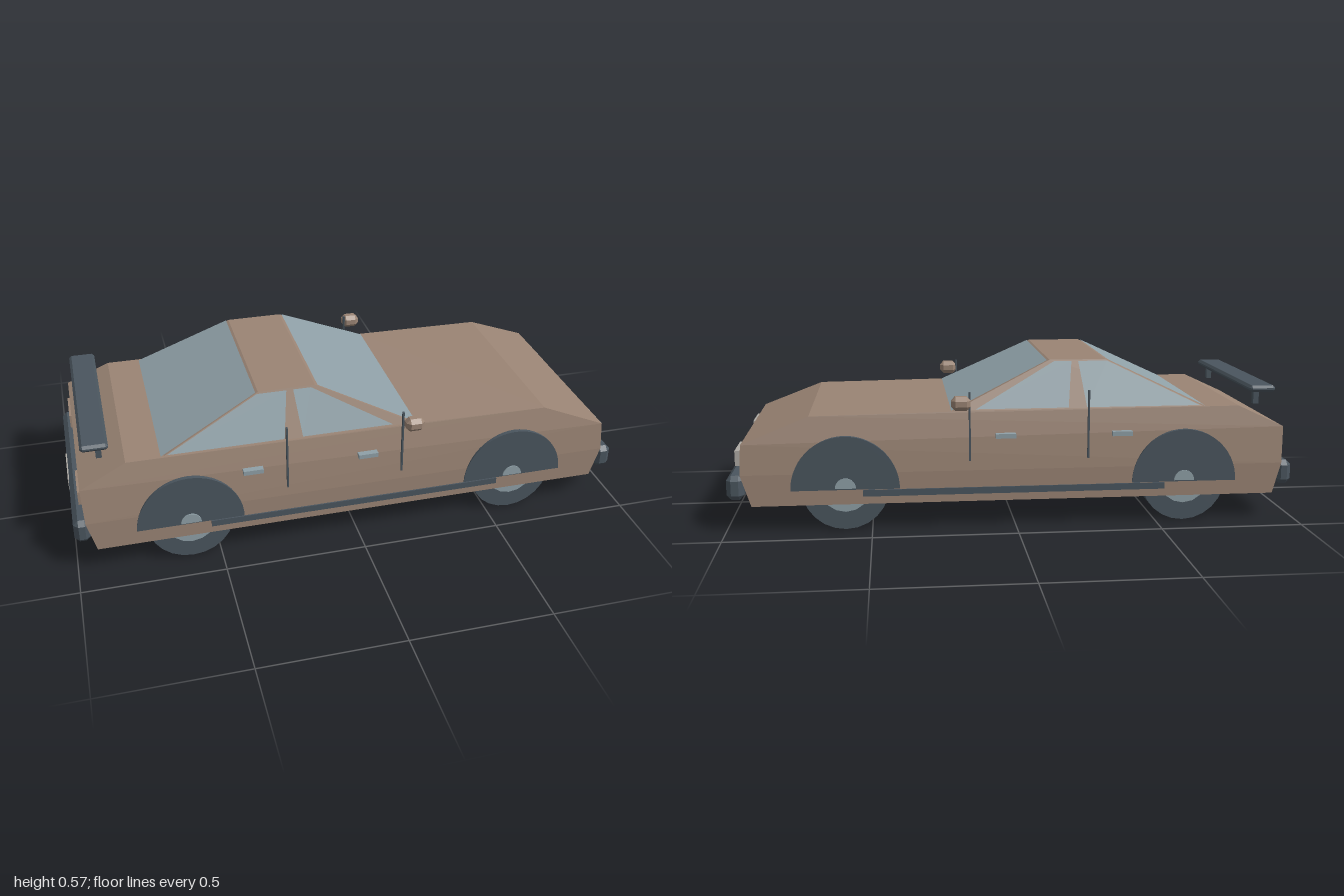
import * as THREE from 'three';
import { ConvexGeometry } from 'three/addons/geometries/ConvexGeometry.js';

const mat = (name, color) => Object.assign(new THREE.MeshStandardMaterial({ color }), { name });

export function createModel() {
  const car = new THREE.Group();
  car.name = 'car';
  const paint = mat('tan paint', 0x9a8474);
  const dark = mat('dark trim', 0x4a555e);
  const glass = mat('blue grey glass', 0x8fa0a7);
  const pale = mat('pale lens', 0xaeaaa4);

  const add = (name, geometry, material, x = 0, y = 0, z = 0) => {
    const flat = geometry.index ? geometry.toNonIndexed() : geometry;
    flat.computeVertexNormals();
    const mesh = new THREE.Mesh(flat, material);
    mesh.name = name;
    mesh.position.set(x, y, z);
    car.add(mesh);
    return mesh;
  };
  // box given by its ranges along each axis
  const box = (name, material, [x0, x1], [y0, y1], [z0, z1]) =>
    add(name, new THREE.BoxGeometry(x1 - x0, y1 - y0, z1 - z0), material,
      (x0 + x1) / 2, (y0 + y1) / 2, (z0 + z1) / 2);
  // hull of [x, y, halfWidth] points mirrored across z
  const hull = (name, material, points) => add(name, new ConvexGeometry(
    points.flatMap(([x, y, w]) => [new THREE.Vector3(x, y, w), new THREE.Vector3(x, y, -w)])), material);
  // box with all edges chamfered by c
  const chamferBox = (name, material, sx, sy, sz, c, x, y, z) => {
    const points = [];
    for (const i of [-1, 1]) for (const j of [-1, 1]) for (const k of [-1, 1])
      for (let axis = 0; axis < 3; axis++) {
        const p = [sx / 2 - c, sy / 2 - c, sz / 2 - c];
        p[axis] += c;
        points.push(new THREE.Vector3(p[0] * i, p[1] * j, p[2] * k));
      }
    return add(name, new ConvexGeometry(points), material, x, y, z);
  };
  // flat four-cornered pane lifted slightly off the surface
  const pane = (name, corners) => {
    const p = corners.map((c) => new THREE.Vector3(...c));
    const n = p[1].clone().sub(p[0]).cross(p[2].clone().sub(p[0])).normalize().multiplyScalar(0.003);
    p.forEach((v) => v.add(n));
    const g = new THREE.BufferGeometry().setFromPoints([p[0], p[1], p[2], p[0], p[2], p[3]]);
    add(name, g, glass);
  };
  // upper half disc lying on a body side
  const halfDisc = (name, material, r, x, y, side, outer) => {
    const shape = new THREE.Shape();
    shape.absarc(0, 0, r, 0, Math.PI, false);
    const g = new THREE.ExtrudeGeometry(shape, { depth: 0.03, bevelEnabled: false, curveSegments: 14 });
    add(name, g, material, x, y, side > 0 ? outer - 0.03 : -outer);
  };

  // lower body and cabin
  hull('body', paint, [
    [-0.925, 0.09, 0.395], [-0.955, 0.2, 0.395], [-0.96, 0.33, 0.382], [-0.8, 0.405, 0.365],
    [0.22, 0.403, 0.365], [0.71, 0.396, 0.367], [0.94, 0.305, 0.387], [0.945, 0.2, 0.395], [0.91, 0.09, 0.395],
  ]);
  hull('cabin', paint, [[-0.68, 0.4, 0.358], [0.22, 0.4, 0.358], [-0.13, 0.568, 0.29], [-0.33, 0.568, 0.29]]);

  // windows
  pane('windshield', [[0.22, 0.402, 0.357], [0.22, 0.402, -0.357], [-0.122, 0.564, -0.291], [-0.122, 0.564, 0.291]]);
  pane('rearWindow', [[-0.68, 0.402, -0.357], [-0.68, 0.402, 0.357], [-0.338, 0.564, 0.291], [-0.338, 0.564, -0.291]]);
  const sideWindows = {
    rearSideWindow: [[-0.66, 0.407], [-0.255, 0.407], [-0.232, 0.562], [-0.335, 0.562]],
    frontSideWindow: [[-0.19, 0.407], [0.135, 0.407], [-0.145, 0.562], [-0.208, 0.562]],
  };

  for (const side of [1, -1]) {
    const span = (a, b) => (side > 0 ? [a, b] : [-b, -a]);
    for (const [name, outline] of Object.entries(sideWindows)) {
      const corners = outline.map(([x, y]) => [x, y, side * (0.358 - (y - 0.4) * 0.405)]);
      pane(name, side > 0 ? corners : corners.reverse());
    }

    // wheels and arches
    for (const x of [-0.6, 0.59]) {
      const tyre = add('tyre', new THREE.CylinderGeometry(0.151, 0.151, 0.105, 24), dark, x, 0.151, side * 0.3375);
      const rim = add('rim', new THREE.CylinderGeometry(0.088, 0.088, 0.02, 16), glass, x, 0.151, side * 0.384);
      tyre.rotation.x = rim.rotation.x = Math.PI / 2;
      halfDisc('wheelArch', dark, 0.187, x, 0.142, side, 0.398);
      halfDisc('hubCap', glass, 0.036, x, 0.147, side, 0.402);
    }

    // door seams, handles, sill and mirrors
    for (const x of [-0.255, 0.16]) box('doorSeam', dark, [x - 0.003, x + 0.003], [0.235, 0.475], span(0.39, 0.4));
    for (const x of [-0.41, 0]) box('doorHandle', glass, [x, x + 0.07], [0.312, 0.328], span(0.38, 0.405));
    box('sillStrip', dark, [-0.53, 0.53], [0.117, 0.14], span(0.39, 0.4));
    chamferBox('mirror', paint, 0.066, 0.048, 0.05, 0.014, 0.192, 0.442, side * 0.424);

    // lamps and spoiler supports
    box('headlight', pale, [0.92, 0.967], [0.222, 0.275], span(0.19, 0.338));
    box('tailLight', paint, [-0.969, -0.93], [0.24, 0.29], span(0.19, 0.33));
    box('spoilerSupport', dark, [-0.892, -0.872], [0.4, 0.45], span(0.285, 0.305));
  }

  // spoiler, grille, bumpers, plates and exhaust
  chamferBox('spoiler', dark, 0.094, 0.024, 0.68, 0.009, -0.895, 0.458, 0);
  box('grille', dark, [0.92, 0.951], [0.2, 0.275], [-0.157, 0.157]);
  chamferBox('frontBumper', dark, 0.06, 0.086, 0.78, 0.017, 0.965, 0.153, 0);
  chamferBox('rearBumper', dark, 0.056, 0.086, 0.78, 0.017, -0.969, 0.162, 0);
  box('frontPlate', pale, [0.992, 1], [0.135, 0.186], [-0.092, 0.092]);
  box('rearPlate', pale, [-1, -0.994], [0.14, 0.19], [-0.09, 0.09]);
  const exhaust = add('exhaust', new THREE.CylinderGeometry(0.014, 0.014, 0.09, 10), glass, -0.945, 0.11, -0.18);
  exhaust.rotation.z = Math.PI / 2;

  return car;
}
